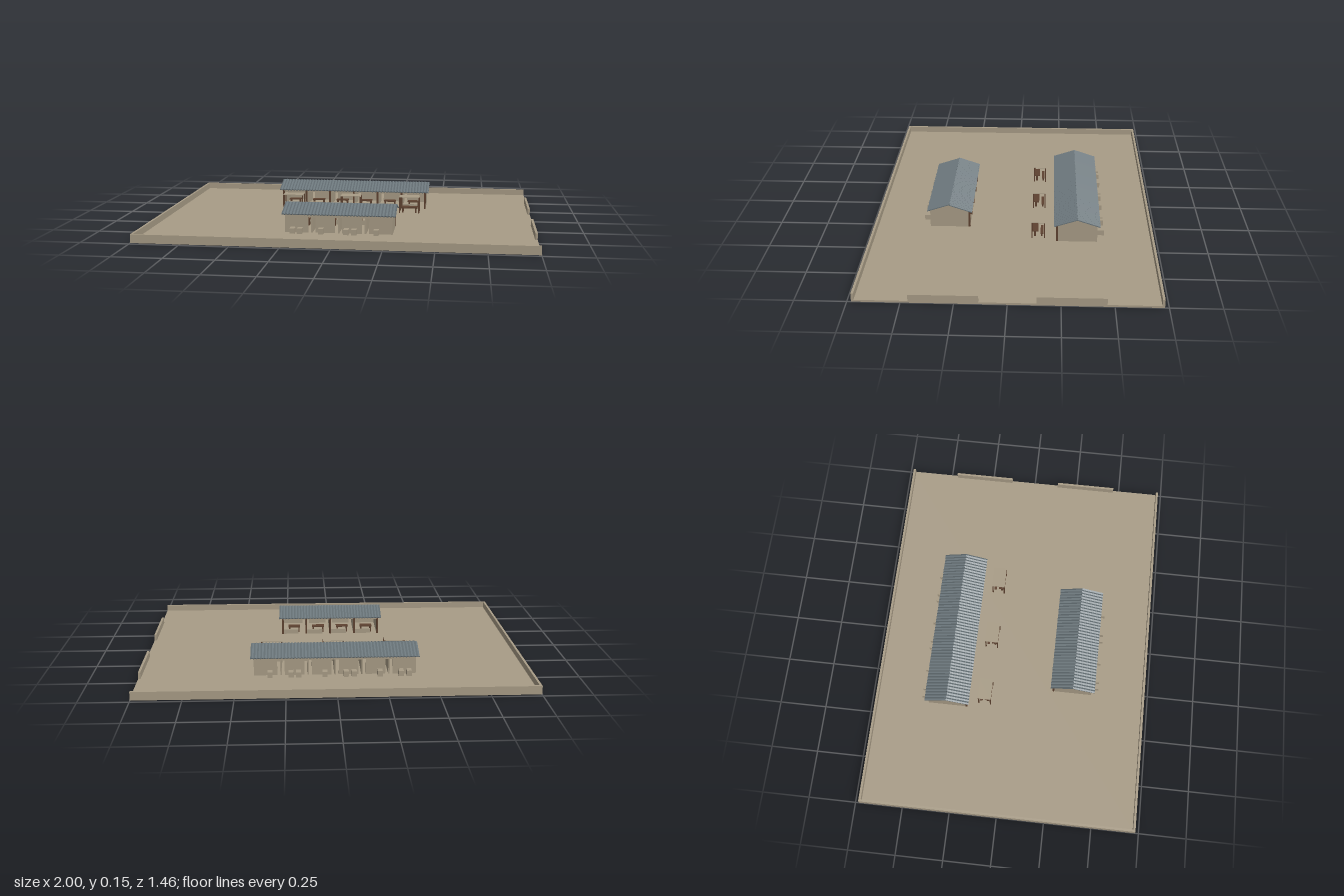
import * as THREE from 'three';

const material = (name, color) => Object.assign(new THREE.MeshStandardMaterial({ color }), { name });
const sand = material('sand plaster', 0xa89c86);
const slate = material('slate roof', 0x6b767b);
const wood = material('dark brown wood', 0x5e4230);

const BASE = 0.01, EAVE = 0.107, PEAK = 0.142, HALF = 0.105, BAY = 0.1385;

// Box given by its lower and upper limits on each axis
function box(parent, name, mat, [x0, x1], [y0, y1], [z0, z1]) {
  const mesh = new THREE.Mesh(new THREE.BoxGeometry(x1 - x0, y1 - y0, z1 - z0), mat);
  mesh.position.set((x0 + x1) / 2, (y0 + y1) / 2, (z0 + z1) / 2);
  mesh.name = name;
  parent.add(mesh);
  return mesh;
}

// House-shaped wall across the building, centred on x
function crossWall(parent, name, x, thickness) {
  const shape = new THREE.Shape([
    new THREE.Vector2(-HALF, BASE), new THREE.Vector2(HALF, BASE),
    new THREE.Vector2(HALF, EAVE), new THREE.Vector2(0, PEAK), new THREE.Vector2(-HALF, EAVE),
  ]);
  const geo = new THREE.ExtrudeGeometry(shape, { depth: thickness, bevelEnabled: false });
  geo.translate(0, 0, -thickness / 2).rotateY(Math.PI / 2);
  const mesh = new THREE.Mesh(geo, sand);
  mesh.position.x = x;
  mesh.name = name;
  parent.add(mesh);
}

// Two corrugated slopes meeting at the ridge
function roof(parent, length) {
  const count = Math.round(length / 0.0085);
  const top = [], under = [];
  for (let i = 0; i <= count; i++) {
    const x = -length / 2 + (length * i) / count;
    const y = i % 2 ? 0 : -0.004;
    top.push(new THREE.Vector2(x, y));
    under.unshift(new THREE.Vector2(x, y - 0.005));
  }
  const shape = new THREE.Shape([...top, ...under]);
  const run = 0.12, drop = 0.04;
  const geo = new THREE.ExtrudeGeometry(shape, { depth: Math.hypot(run, drop), bevelEnabled: false });
  geo.rotateX(Math.atan2(drop, run)).translate(0, 0.15, 0);
  for (const turn of [0, Math.PI]) {
    const slope = new THREE.Mesh(geo, slate);
    slope.rotation.y = turn;
    slope.name = 'corrugatedRoofSlope';
    parent.add(slope);
  }
}

// Row of bays: outer wall on +z, open side on -z
function building(name, bays, troughs) {
  const g = new THREE.Group();
  g.name = name;
  const half = (bays * BAY) / 2;
  roof(g, bays * BAY + 0.033);
  for (let i = 0; i <= bays; i++) {
    const x = -half + i * BAY;
    const end = i === 0 ? 0.004 : i === bays ? -0.004 : 0;
    crossWall(g, end ? 'gableWall' : 'partition', x + end, 0.008);
    // Posts on the open side
    box(g, 'post', wood, [x + end - 0.005, x + end + 0.005], [BASE, EAVE], [-HALF - 0.003, -HALF + 0.007]);
  }
  box(g, 'outerLintel', sand, [-half, half], [0.09, EAVE], [HALF - 0.008, HALF]);
  box(g, 'openSideBeam', sand, [-half, half], [0.094, EAVE], [-HALF, -HALF + 0.008]);
  for (let i = 0; i < bays; i++) {
    const x0 = -half + i * BAY, x1 = x0 + BAY;
    // Outer wall with narrow doorways beside each partition
    box(g, 'outerWall', sand, [x0 + (i ? 0.019 : 0), x1 - (i < bays - 1 ? 0.019 : 0)],
      [BASE, 0.09], [HALF - 0.008, HALF]);
    // Low front wall and bench in the bay
    box(g, 'lowWall', sand, [x0 + 0.045, x1], [BASE, 0.035], [-HALF, -HALF + 0.008]);
    box(g, 'benchTop', wood, [x0 + 0.035, x1 - 0.035], [0.042, 0.048], [-0.085, -0.05]);
    for (const x of [x0 + 0.042, x1 - 0.042])
      box(g, 'benchLeg', wood, [x - 0.004, x + 0.004], [BASE, 0.042], [-0.08, -0.055]);
  }
  // Small boxes standing against the outer wall
  for (const x of troughs)
    box(g, 'outsideBox', sand, [x - 0.013, x + 0.013], [BASE, 0.038], [HALF, 0.143]);
  return g;
}

// Light canopy on posts with a table and bench below
function shelter(x) {
  const g = new THREE.Group();
  g.name = 'shelter';
  const w = 0.057, d = 0.035;
  box(g, 'canopy', sand, [-w, w], [0.097, 0.1], [-d, d]);
  for (const sx of [-1, 1]) for (const sz of [-1, 1]) {
    const px = sx * (w - 0.003), pz = sz * (d - 0.003);
    box(g, 'shelterPost', wood, [px - 0.003, px + 0.003], [BASE, 0.097], [pz - 0.003, pz + 0.003]);
  }
  box(g, 'tableTop', wood, [-0.045, 0.045], [0.04, 0.045], [0, 0.033]);
  box(g, 'bench', wood, [-0.045, 0.045], [0.026, 0.03], [-0.026, -0.012]);
  for (const lx of [-0.036, 0.036]) {
    box(g, 'tableLeg', wood, [lx - 0.004, lx + 0.004], [BASE, 0.04], [0.012, 0.022]);
    box(g, 'benchLeg', wood, [lx - 0.003, lx + 0.003], [BASE, 0.026], [-0.023, -0.015]);
  }
  g.position.set(x, 0, -0.135);
  return g;
}

export function createModel() {
  const model = new THREE.Group();
  model.name = 'walledCompound';

  // Ground slab and perimeter walls, open at the entrances on the +x side
  const Z = 0.73, T = 0.012, H = [BASE, 0.044];
  box(model, 'ground', sand, [-1, 1], [0, BASE], [-Z, Z]);
  box(model, 'frontWall', sand, [-1, 1], H, [Z - T, Z]);
  box(model, 'backWall', sand, [-1, 1], H, [-Z, -Z + T]);
  box(model, 'rightWall', sand, [-1, -1 + T], H, [-Z + T, Z - T]);
  box(model, 'entranceWall', sand, [1 - T, 1], H, [0.135, 0.465]);
  box(model, 'entranceWall', sand, [1 - T, 1], H, [-0.465, -0.135]);

  // Two buildings with their open sides facing each other
  const front = building('frontBuilding', 4, [-0.235, -0.197, -0.088, 0.042, 0.082, 0.195]);
  front.position.z = 0.335;
  const back = building('backBuilding', 6, [0.378, 0.337, 0.229, 0.097, 0.056, -0.053, -0.187, -0.225, -0.333]);
  back.rotation.y = Math.PI;
  back.position.z = -0.335;
  model.add(front, back);

  for (const x of [-0.333, -0.003, 0.329]) model.add(shelter(x));
  return model;
}
